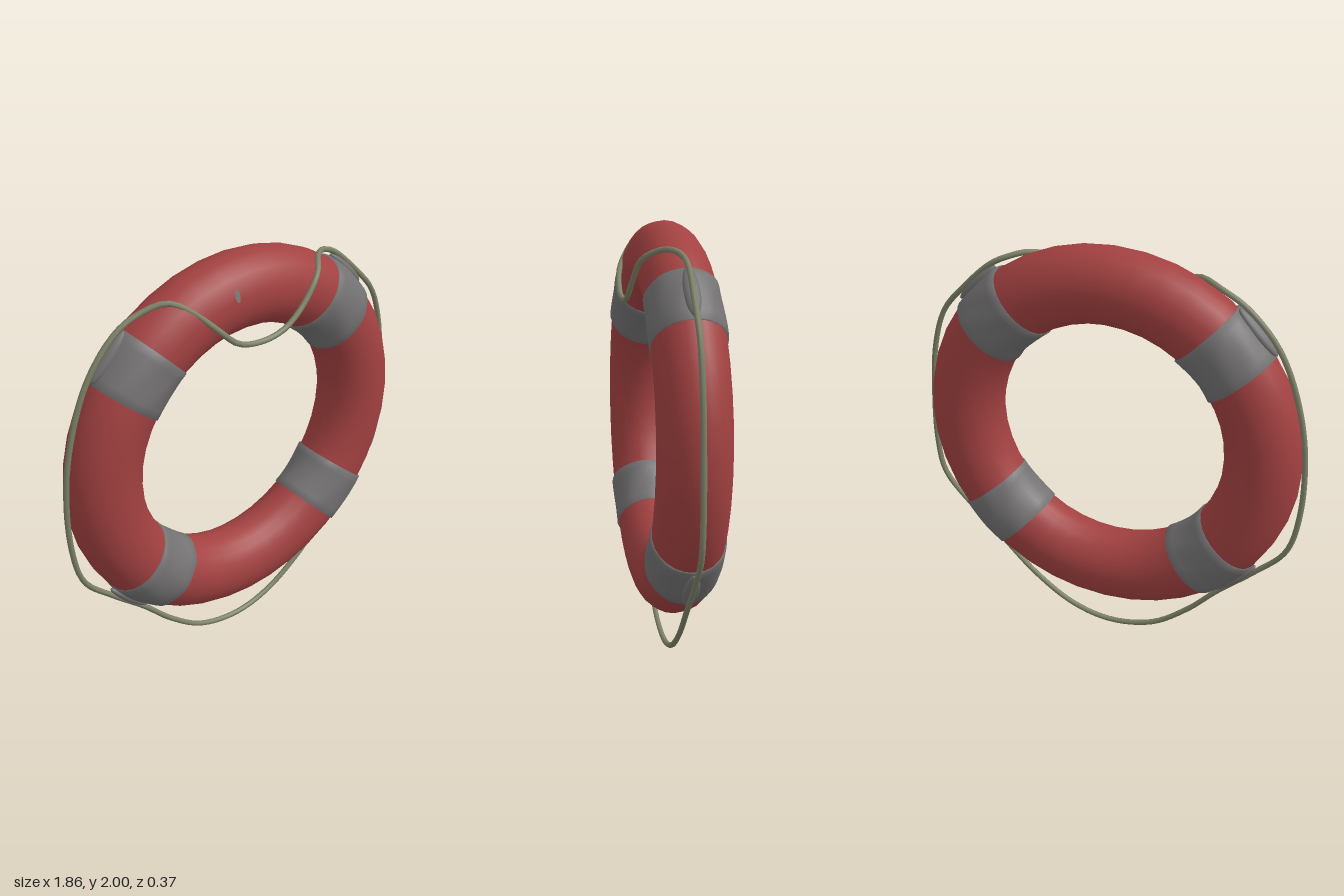
import * as THREE from 'three';

const CENTRE = new THREE.Vector3(-0.003, 1.1, -0.017);
const RING = 0.725, TUBE = 0.175, DEPTH = 0.9; // ring radius, tube radius, depth squash
const deg = Math.PI / 180;

// Cloth band wrapped round the tube: loops of cross-sections, ends tucked into the ring
function bandGeometry(seed) {
  const rows = 8, sides = 32, pos = [], index = [];
  for (let i = 0; i <= rows; i++) {
    const end = i === 0 || i === rows;
    const s = THREE.MathUtils.clamp(((i - 1) / (rows - 2)) * 2 - 1, -1, 1);
    for (let j = 0; j < sides; j++) {
      const v = (j / sides) * Math.PI * 2;
      const wrinkle = 0.003 * Math.sin(5 * v + seed + 2.5 * s) * Math.cos(3 * v - seed);
      const t = TUBE + (end ? -0.008 : 0.008 + wrinkle);
      const r = RING + t * Math.cos(v);
      const a = s * (0.122 + 0.009 * Math.cos(v)) / r;
      pos.push(r * Math.cos(a), r * Math.sin(a), t * Math.sin(v) * DEPTH);
    }
  }
  for (let i = 0; i < rows; i++) {
    for (let j = 0; j < sides; j++) {
      const k = (j + 1) % sides;
      const a = i * sides + j, b = a + sides, c = i * sides + k, d = c + sides;
      index.push(a, b, c, b, d, c);
    }
  }
  const g = new THREE.BufferGeometry();
  g.setAttribute('position', new THREE.Float32BufferAttribute(pos, 3));
  g.setIndex(index);
  g.computeVertexNormals();
  return g;
}

export function createModel() {
  const red = new THREE.MeshStandardMaterial({ color: 0xa34141 });
  red.name = 'buoyRed';
  const grey = new THREE.MeshStandardMaterial({ color: 0x747272, side: THREE.DoubleSide });
  grey.name = 'bandGrey';
  const cord = new THREE.MeshStandardMaterial({ color: 0x7d8268 });
  cord.name = 'ropeGreen';

  const model = new THREE.Group();
  model.name = 'lifebuoy';
  const add = (name, geometry, material, parent = model) => {
    const mesh = new THREE.Mesh(geometry, material);
    mesh.name = name;
    parent.add(mesh);
    return mesh;
  };

  // Floating ring
  const ring = new THREE.TorusGeometry(RING, TUBE, 24, 40);
  ring.scale(1, 1, DEPTH);
  add('ring', ring, red).position.copy(CENTRE);

  // Four bands, each with a sleeve holding the rope at the outer rim
  const bands = { upperLeftBand: 45, upperRightBand: 137, lowerRightBand: 226, lowerLeftBand: -43 };
  Object.entries(bands).forEach(([name, angle], i) => {
    const group = new THREE.Group();
    group.name = name;
    group.position.copy(CENTRE);
    group.rotation.z = angle * deg;
    add('bandWrap', bandGeometry(i * 1.7), grey, group);
    const sleeve = add('ropeSleeve', new THREE.SphereGeometry(1, 14, 10), grey, group);
    sleeve.scale.set(0.024, 0.13, 0.035);
    sleeve.position.x = 0.907;
    model.add(group);
  });

  // Grab rope: slack at the bottom, draped over the front at the top
  const Z = -0.015;
  const path = [
    [0, 1.65, 0.17], [-0.13, 1.68, 0.17], [-0.23, 1.77, 0.155], [-0.32, 1.86, 0.1],
    [-0.4, 1.9, 0.04], [-0.5, 1.875, 0], [-0.61, 1.82, Z], [-0.75, 1.67, Z],
    [-0.84, 1.48, Z], [-0.905, 1.2, Z], [-0.91, 0.86, Z], [-0.86, 0.65, Z],
    [-0.72, 0.5, Z], [-0.55, 0.345, Z], [-0.4, 0.19, Z], [-0.22, 0.06, Z],
    [0, 0.015, Z], [0.2, 0.06, Z], [0.4, 0.19, Z], [0.58, 0.365, Z],
    [0.74, 0.52, Z], [0.88, 0.69, Z], [0.912, 0.86, Z], [0.908, 1.15, Z],
    [0.88, 1.4, Z], [0.82, 1.58, Z], [0.72, 1.7, Z], [0.57, 1.84, Z],
    [0.49, 1.88, 0], [0.41, 1.895, 0.05], [0.33, 1.85, 0.135], [0.22, 1.74, 0.165],
    [0.12, 1.67, 0.17],
  ].map((p) => new THREE.Vector3(...p));
  const curve = new THREE.CatmullRomCurve3(path, true);
  add('grabRope', new THREE.TubeGeometry(curve, 160, 0.013, 8, true), cord);

  // Small scuff on the upper front
  const scuff = add('scuff', new THREE.CircleGeometry(1, 6), grey);
  scuff.scale.set(0.014, 0.032, 1);
  scuff.position.set(-0.108, 1.88, 0.134);
  scuff.rotation.x = -20 * deg;

  return model;
}
